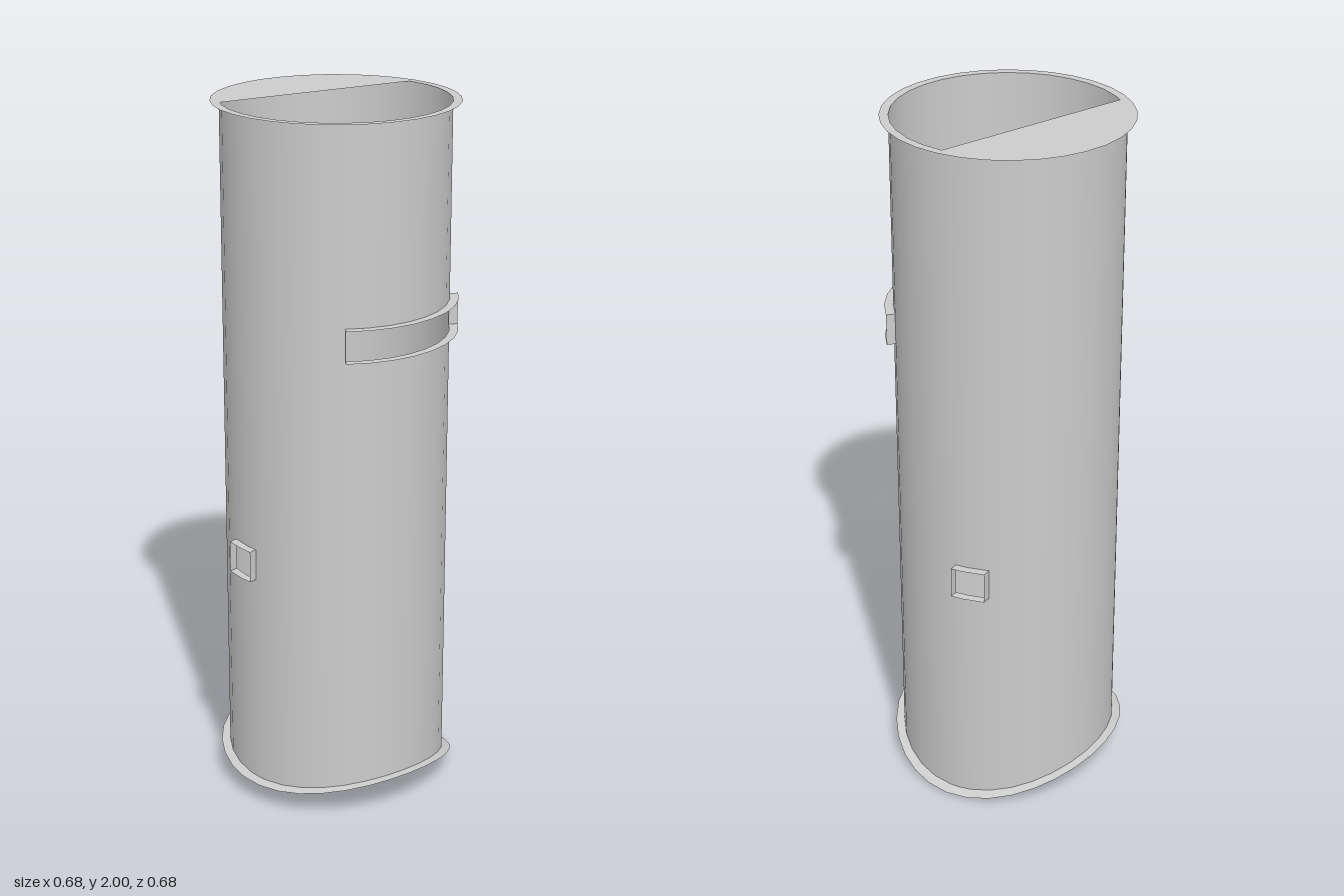
import * as THREE from 'three';

const INNER = 0.315, OUTER = 0.34, TOP = 2, STEP = 11.25;
const material = new THREE.MeshStandardMaterial({ color: 0xcccccc, side: THREE.DoubleSide });

// Point on a circle, angle in degrees from +x towards +z
const polar = (deg, r, y) => {
  const a = THREE.MathUtils.degToRad(deg);
  return new THREE.Vector3(Math.cos(a) * r, y, Math.sin(a) * r);
};

// Bottom edge follows a saddle cut by a large cylinder lying along z
const saddle = (x) => 0.105 - 0.83 + Math.sqrt(0.83 ** 2 - (x + 0.07) ** 2);
const onSaddle = (deg, r) => {
  const p = polar(deg, r, 0);
  p.y = saddle(p.x);
  return p;
};

// Angles from a0 to a1 that keep the 32-sided facets
function angles(a0, a1) {
  const list = [a0];
  for (let a = (Math.floor(a0 / STEP + 1e-6) + 1) * STEP; a < a1 - 1e-6; a += STEP) list.push(a);
  list.push(a1);
  return list;
}

// Ribbon of quads between two rows of points
function ribbon(name, rowA, rowB, radialNormals = false) {
  const positions = [], normals = [], index = [];
  rowA.forEach((p, i) => {
    for (const v of [p, rowB[i]]) {
      positions.push(v.x, v.y, v.z);
      const r = Math.hypot(v.x, v.z);
      normals.push(v.x / r, 0, v.z / r);
    }
    if (i > 0) {
      const k = 2 * i - 2;
      index.push(k, k + 1, k + 2, k + 1, k + 3, k + 2);
    }
  });
  const geometry = new THREE.BufferGeometry();
  geometry.setAttribute('position', new THREE.Float32BufferAttribute(positions, 3));
  geometry.setIndex(index);
  if (radialNormals) geometry.setAttribute('normal', new THREE.Float32BufferAttribute(normals, 3));
  else geometry.computeVertexNormals();
  const mesh = new THREE.Mesh(geometry, material);
  mesh.name = name;
  return mesh;
}

// Sill, lintel and two jambs standing out from an opening
function openingFrame(name, a0, a1, lo, hi, outward) {
  const frame = new THREE.Group();
  frame.name = name;
  const at = (a, y) => polar(a, INNER, y);
  const list = angles(a0, a1);
  const edge = (y) => [list.map((a) => at(a, y)), list.map((a) => outward(at(a, y)))];
  const [sillIn, sillOut] = edge(lo), [lintelIn, lintelOut] = edge(hi);
  const last = list.length - 1;
  frame.add(
    ribbon('sill', sillOut, sillIn),
    ribbon('lintel', lintelIn, lintelOut),
    ribbon('jambStart', [sillIn[0], lintelIn[0]], [sillOut[0], lintelOut[0]]),
    ribbon('jambEnd', [sillOut[last], lintelOut[last]], [sillIn[last], lintelIn[last]])
  );
  return frame;
}

export function createModel() {
  const model = new THREE.Group();
  model.name = 'pipe';

  // Openings: a wide front slot and a small window on each side
  const near = THREE.MathUtils.radToDeg(Math.asin(0.025 / INNER));
  const far = THREE.MathUtils.radToDeg(Math.asin(0.12 / INNER));
  const radial = (p) => new THREE.Vector3(p.x * OUTER / INNER, p.y, p.z * OUTER / INNER);
  const sideways = (p) =>
    new THREE.Vector3(Math.sign(p.x) * Math.sqrt(OUTER ** 2 - p.z ** 2), p.y, p.z);
  const openings = [
    ['frontSlot', 45, 135, 1.36, 1.45, radial],
    ['rightWindow', 180 + near, 180 + far, 0.69, 0.78, sideways],
    ['leftWindow', 360 - far, 360 - near, 0.69, 0.78, sideways]
  ];

  // Wall: full-height panels, split above and below each opening
  const wall = new THREE.Group();
  wall.name = 'wall';
  const addPanel = (a0, a1, lo, hi) => {
    const list = angles(a0, a1);
    const bottom = list.map((a) => (lo === null ? onSaddle(a, INNER) : polar(a, INNER, lo)));
    wall.add(ribbon('wallPanel', bottom, list.map((a) => polar(a, INNER, hi)), true));
  };
  let start = 0;
  for (const [name, a0, a1, lo, hi, outward] of openings) {
    addPanel(start, a0, null, TOP);
    addPanel(a0, a1, null, lo);
    addPanel(a0, a1, hi, TOP);
    model.add(openingFrame(name, a0, a1, lo, hi, outward));
    start = a1;
  }
  addPanel(start, 360, null, TOP);
  model.add(wall);

  // Flat top rim and saddle-shaped bottom rim
  const round = angles(0, 360);
  model.add(ribbon('topRim', round.map((a) => polar(a, OUTER, TOP)), round.map((a) => polar(a, INNER, TOP))));
  model.add(ribbon('bottomRim', round.map((a) => onSaddle(a, INNER)), round.map((a) => onSaddle(a, OUTER))));

  // Flat cover over the back segment of the top
  const arc = angles(219.4, 360).map((a) => polar(a, INNER, TOP));
  model.add(ribbon('topCover', arc, arc.map((p, i) => arc[0].clone().lerp(arc[arc.length - 1], i / (arc.length - 1)))));

  return model;
}
